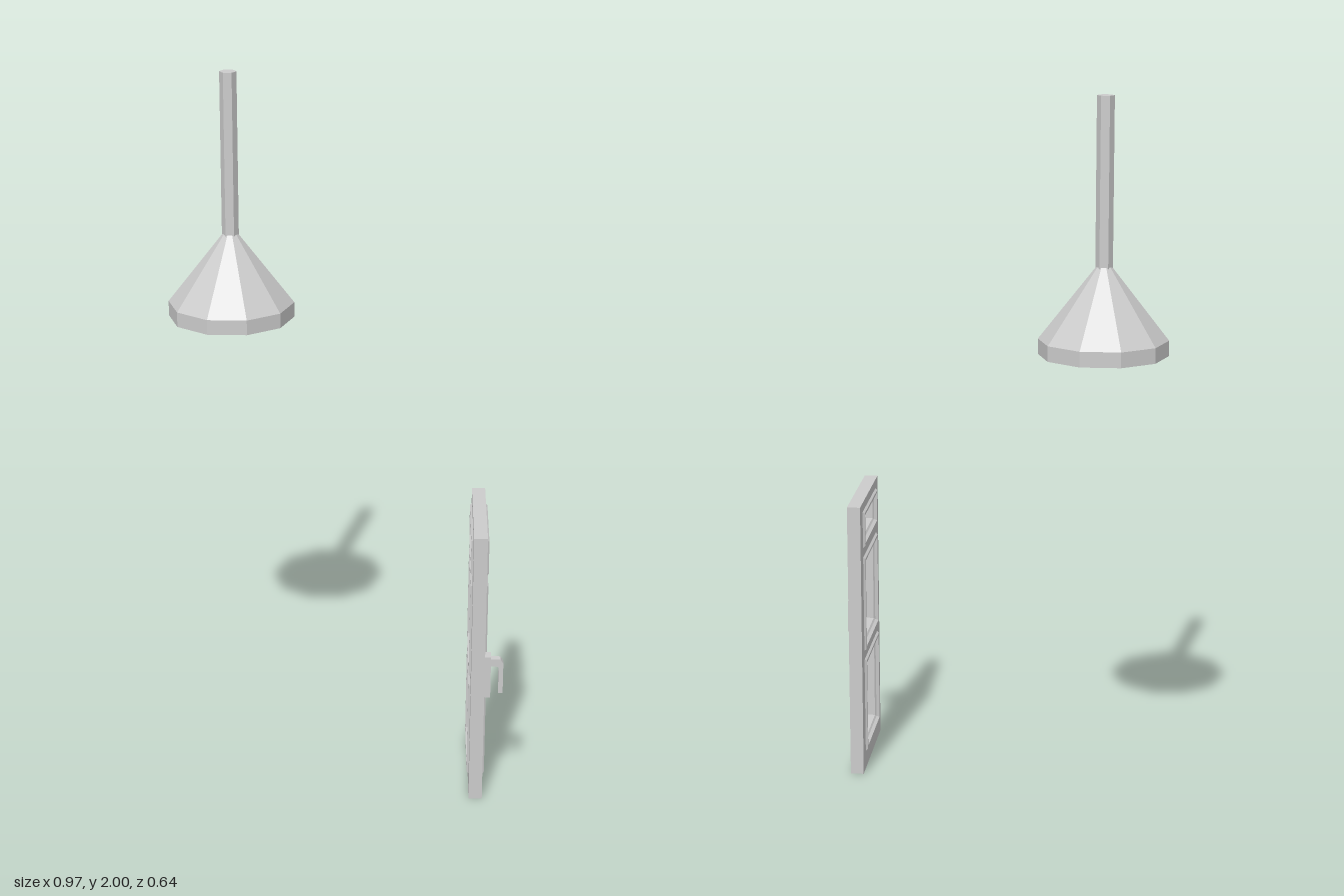
import * as THREE from 'three';

const grey = new THREE.MeshStandardMaterial({ color: 0xcccccc, flatShading: true });
const greyOpen = new THREE.MeshStandardMaterial({ color: 0xcccccc, flatShading: true, side: THREE.DoubleSide });

function add(parent, name, geometry, material = grey) {
  const mesh = new THREE.Mesh(geometry, material);
  mesh.name = name;
  parent.add(mesh);
  return mesh;
}

// Closed cross-section of [inset, depth] points swept round a rectangle with mitred corners
function mouldingRing(u0, u1, v0, v1, profile) {
  const positions = [];
  const point = (corner, i) => {
    const [inset, depth] = profile[i % profile.length];
    const c = corner % 4;
    const u = c === 0 || c === 3 ? u0 + inset : u1 - inset;
    const v = c < 2 ? v0 + inset : v1 - inset;
    return [u, v, depth];
  };
  for (let c = 0; c < 4; c++) {
    for (let i = 0; i < profile.length; i++) {
      const a = point(c, i), b = point(c + 1, i), d = point(c + 1, i + 1), e = point(c, i + 1);
      positions.push(...a, ...b, ...d, ...a, ...d, ...e);
    }
  }
  const geometry = new THREE.BufferGeometry();
  geometry.setAttribute('position', new THREE.Float32BufferAttribute(positions, 3));
  geometry.computeVertexNormals();
  return geometry;
}

function createLamp() {
  const lamp = new THREE.Group();
  lamp.name = 'pendantLamp';

  // Hexagonal rod, vertices on the x axis
  const rod = add(lamp, 'lampRod', new THREE.CylinderGeometry(0.024, 0.024, 0.53, 6));
  rod.position.y = 1.735;
  rod.rotation.y = Math.PI / 6;

  // Open ten-sided shade with a straight rim
  const shade = [[0.18, 1.29], [0.18, 1.333], [0.022, 1.535]].map(p => new THREE.Vector2(...p));
  add(lamp, 'lampShade', new THREE.LatheGeometry(shade, 10, Math.PI / 2), greyOpen);

  // Socket and bulb under the shade
  const bulb = [[0, 1.34], [0.024, 1.345], [0.04, 1.38], [0.036, 1.41], [0.024, 1.44], [0.024, 1.48]]
    .map(p => new THREE.Vector2(...p));
  add(lamp, 'lampBulb', new THREE.LatheGeometry(bulb, 6, Math.PI / 2), greyOpen);

  lamp.position.set(-0.305, 0, -0.15);
  return lamp;
}

function createDoor() {
  const door = new THREE.Group();
  door.name = 'door';
  const half = 0.019;
  const z0 = 0.0, z1 = 0.273;
  const panels = [[0.052, 0.338], [0.362, 0.648], [0.675, 0.785]];

  // Slab with three openings, drawn in z and y
  const slab = new THREE.Shape();
  slab.moveTo(-0.047, 0).lineTo(0.32, 0).lineTo(0.32, 0.81).lineTo(-0.047, 0.81).closePath();
  for (const [y0, y1] of panels) {
    const hole = new THREE.Path();
    hole.moveTo(z0 + 0.004, y0 + 0.004).lineTo(z0 + 0.004, y1 - 0.004)
      .lineTo(z1 - 0.004, y1 - 0.004).lineTo(z1 - 0.004, y0 + 0.004).closePath();
    slab.holes.push(hole);
  }
  const slabGeometry = new THREE.ExtrudeGeometry(slab, { depth: 2 * half, bevelEnabled: false });
  slabGeometry.translate(0, 0, -half).rotateY(-Math.PI / 2);
  add(door, 'doorSlab', slabGeometry);

  // Raised moulding round each opening, the same on both faces
  const face = [[0, 0.017], [0.006, 0.025], [0.013, 0.025], [0.017, 0.016], [0.022, 0.012]];
  const profile = [...face, ...face.map(([inset, depth]) => [inset, -depth]).reverse()];
  panels.forEach(([y0, y1], i) => {
    const ring = mouldingRing(z0, z1, y0, y1, profile);
    add(door, 'panelMoulding' + (i + 1), ring.rotateY(-Math.PI / 2));
  });

  // Handle: back plate and a bent lever hanging down
  const handle = new THREE.Group();
  handle.name = 'doorHandle';
  const plate = add(handle, 'handlePlate', new THREE.BoxGeometry(0.018, 0.125, 0.035));
  plate.position.set(half + 0.008, 0.382, 0.293);
  const lever = new THREE.Shape();
  [[0.03, 0.412], [0.055, 0.412], [0.058, 0.409], [0.058, 0.33], [0.071, 0.33],
    [0.071, 0.422], [0.063, 0.434], [0.03, 0.434]].forEach(([x, y], i) =>
    i ? lever.lineTo(x, y) : lever.moveTo(x, y));
  const leverGeometry = new THREE.ExtrudeGeometry(lever, { depth: 0.022, bevelEnabled: false });
  add(handle, 'handleLever', leverGeometry.translate(0, 0, 0.281));
  door.add(handle);

  door.position.x = 0.409;
  return door;
}

export function createModel() {
  const model = new THREE.Group();
  model.name = 'doorAndLamp';
  model.add(createLamp(), createDoor());
  return model;
}
